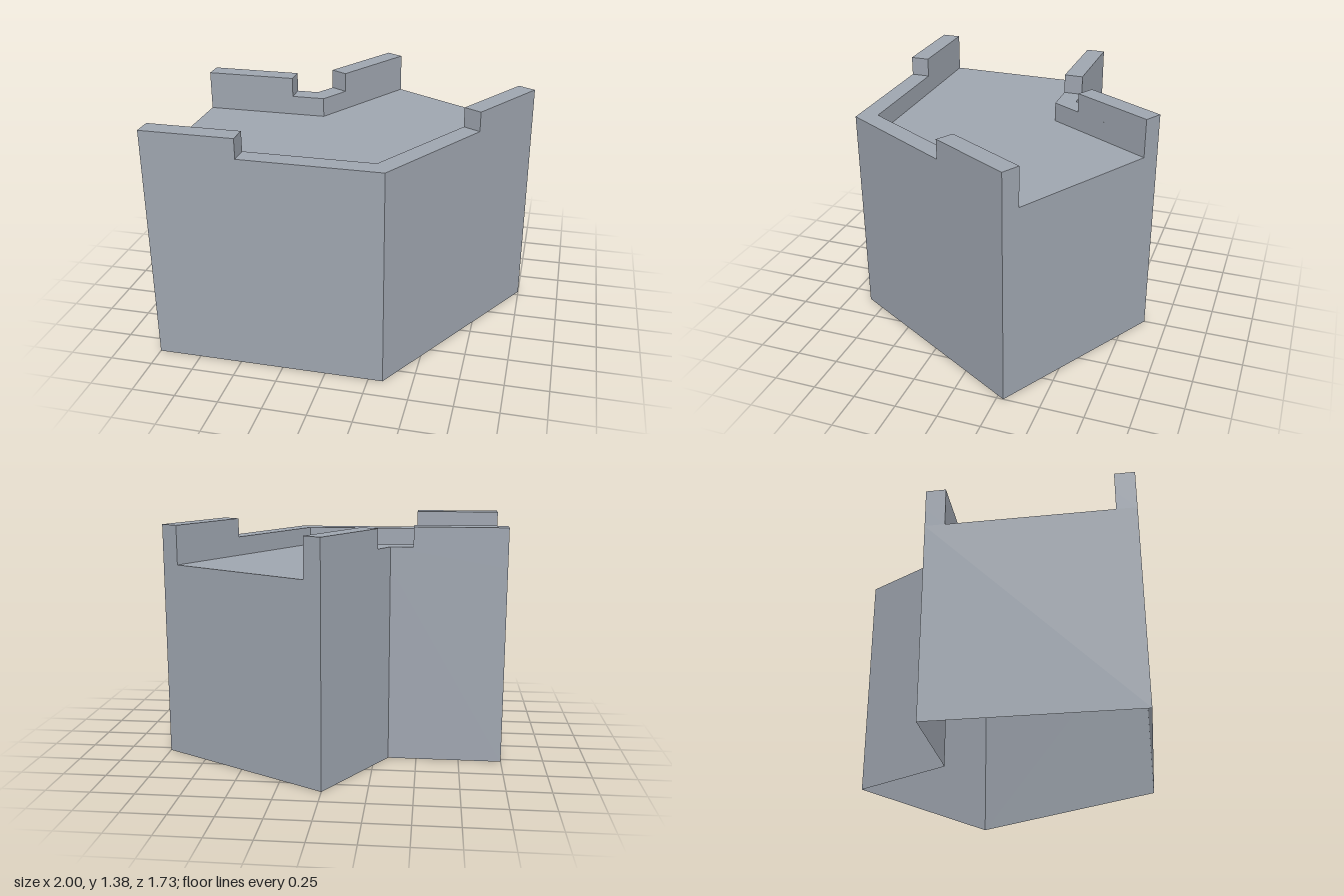
import * as THREE from 'three';

const DECK = 1.155, LOW = 1.27, TOP = 1.385; // heights of deck, low parapet, merlons
const T = 0.113;                             // parapet thickness
const MITRE = T * Math.tan(Math.PI / 6);
const M = 0.536;                             // merlon length
const S = Math.sin(Math.PI / 3);

// Plan points as [x, z]: a straight wall piece turning through 60 degrees
const A = [-1, -0.289], B = [-0.333, -0.289], C = [0, -0.866];
const D = [1, -0.289], E = [0.333, 0.866], F = [-1, 0.866];
const move = (p, dx, dz) => [p[0] + dx, p[1] + dz];
const alongDiagonal = (p, d) => move(p, -d * 0.5, d * S); // parallel to C-B and D-E
const Ai = move(A, 0, T), Bi = move(B, MITRE, T), Ci = move(C, T * S, T * 0.5);
const Di = move(D, -T * S, -T * 0.5), Ei = move(E, -MITRE, -T), Fi = move(F, 0, -T);

const planShape = (pts) => new THREE.Shape(pts.map(([x, z]) => new THREE.Vector2(x, -z)));

// Upright prism over a plan outline
function prism(pts, y0, y1) {
  const g = new THREE.ExtrudeGeometry(planShape(pts), { depth: y1 - y0, bevelEnabled: false });
  return g.rotateX(-Math.PI / 2).translate(0, y0, 0);
}

// Thin vertical walls around a plan outline, open above and below
function wallRing(pts, height) {
  const v = [];
  pts.forEach((p, i) => {
    const q = pts[(i + 1) % pts.length];
    const [a, b, c, d] = [[p, 0], [p, height], [q, height], [q, 0]]
      .map(([k, y]) => [k[0], y, k[1]]);
    v.push(...a, ...b, ...c, ...a, ...c, ...d);
  });
  const g = new THREE.BufferGeometry();
  g.setAttribute('position', new THREE.Float32BufferAttribute(v, 3));
  g.computeVertexNormals();
  return g;
}

export function createModel() {
  const group = new THREE.Group();
  group.name = 'cornerWall';
  const stone = new THREE.MeshStandardMaterial({ color: 0xa0a7b1, side: THREE.DoubleSide });
  stone.name = 'greyStone';
  const add = (name, geometry) => {
    const mesh = new THREE.Mesh(geometry, stone);
    mesh.name = name;
    group.add(mesh);
  };

  // Hollow body, open underneath
  add('outerWalls', wallRing([A, B, C, D, E, F], DECK));

  // Walkway between the parapets
  const deck = new THREE.ShapeGeometry(planShape([Ai, Bi, Ci, Di, Ei, Fi]));
  add('walkway', deck.rotateX(-Math.PI / 2).translate(0, DECK, 0));

  // Low parapets following both bent sides
  add('backParapet', prism([A, B, C, Ci, Bi, Ai], DECK, LOW));
  add('frontParapet', prism([F, E, D, Di, Ei, Fi], DECK, LOW));

  // Raised merlons at the ends of each parapet
  for (const [side, p, pi, q, qi] of [['back', A, Ai, C, Ci], ['front', F, Fi, D, Di]]) {
    add(side + 'StraightMerlon', prism([p, move(p, M, 0), move(pi, M, 0), pi], LOW, TOP));
    add(side + 'DiagonalMerlon',
      prism([q, alongDiagonal(q, M), alongDiagonal(qi, M), qi], LOW, TOP));
  }
  return group;
}
